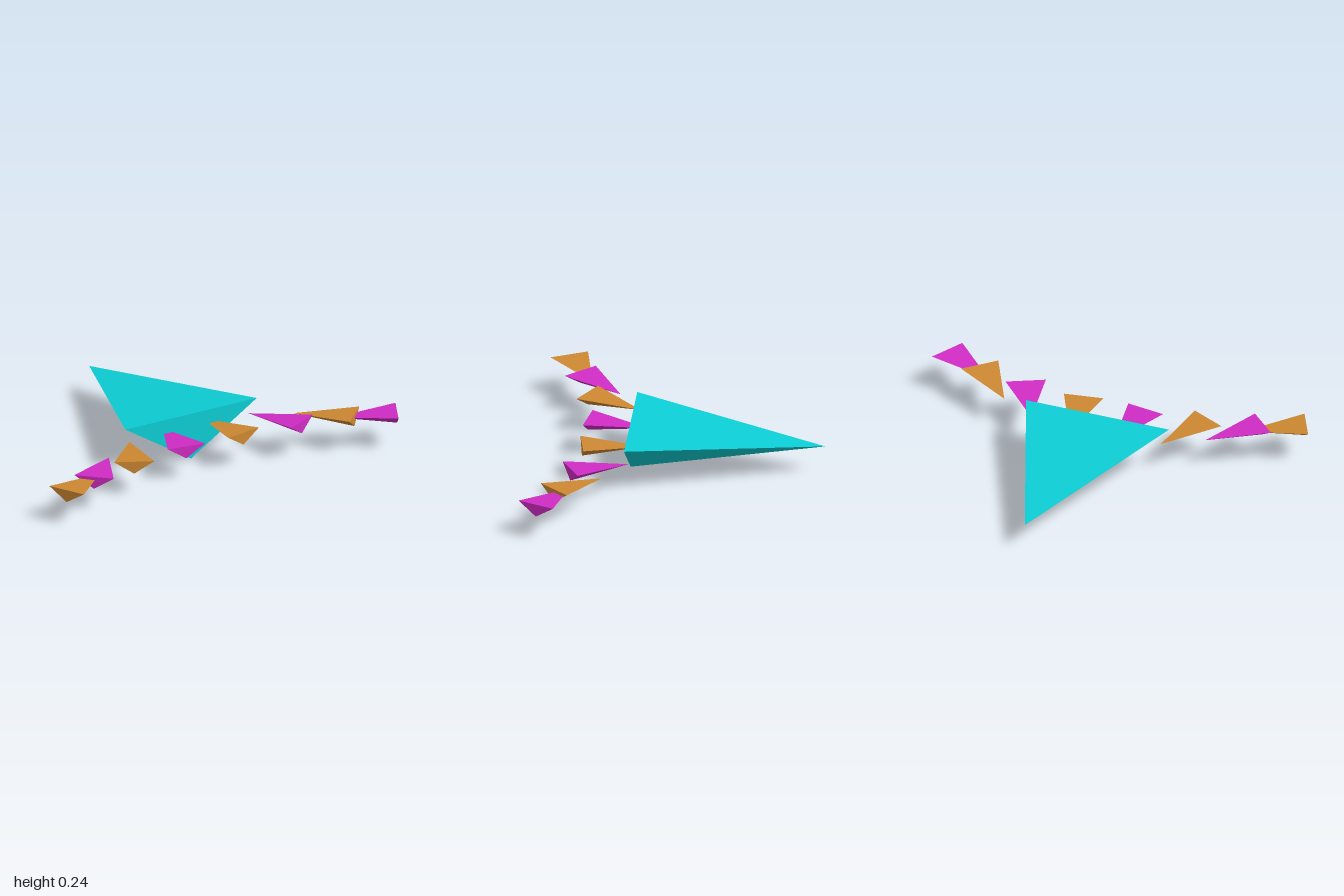
import * as THREE from 'three';

// Unit three-sided wedge: inverted triangle face at z = 0, tip at z = -1.
function wedgeGeometry() {
  const a = [-0.5, 1, 0], b = [0.5, 1, 0], c = [0, 0, 0], tip = [0, 0.6, -1];
  const faces = [a, c, b, a, b, tip, c, a, tip, b, c, tip];
  const geometry = new THREE.BufferGeometry();
  geometry.setAttribute('position', new THREE.Float32BufferAttribute(faces.flat(), 3));
  geometry.computeVertexNormals();
  return geometry;
}

function material(name, color) {
  const m = new THREE.MeshStandardMaterial({ color });
  m.name = name;
  return m;
}

export function createModel() {
  const group = new THREE.Group();
  const turquoise = material('turquoise', 0x0cced5);
  const orange = material('orange', 0xcd8832);
  const magenta = material('magenta', 0xd02cc4);
  const wedge = wedgeGeometry();

  function addWedge(name, mat, size, position, angle = 0) {
    const mesh = new THREE.Mesh(wedge, mat);
    mesh.name = name;
    mesh.scale.set(...size);
    mesh.position.set(...position);
    mesh.rotation.y = angle;
    group.add(mesh);
  }

  // Large central wedge
  addWedge('body', turquoise, [0.76, 0.24, 0.965], [0, 0, 0.243]);

  // Fan of small wedges, mirrored with alternating colours: [x, z] of each base
  const bases = [[0.165, 0.47], [0.485, 0.5], [0.753, 0.558], [0.955, 0.63]];
  bases.forEach(([x, z], i) => {
    const angle = THREE.MathUtils.degToRad(9 + 18 * i);
    for (const side of [-1, 1]) {
      const mat = (i % 2 === 0) === (side > 0) ? orange : magenta;
      const name = `${side > 0 ? 'left' : 'right'}Shard${i + 1}`;
      addWedge(name, mat, [0.2, 0.064, 0.31], [side * x, 0.121, z], side * angle);
    }
  });
  return group;
}
